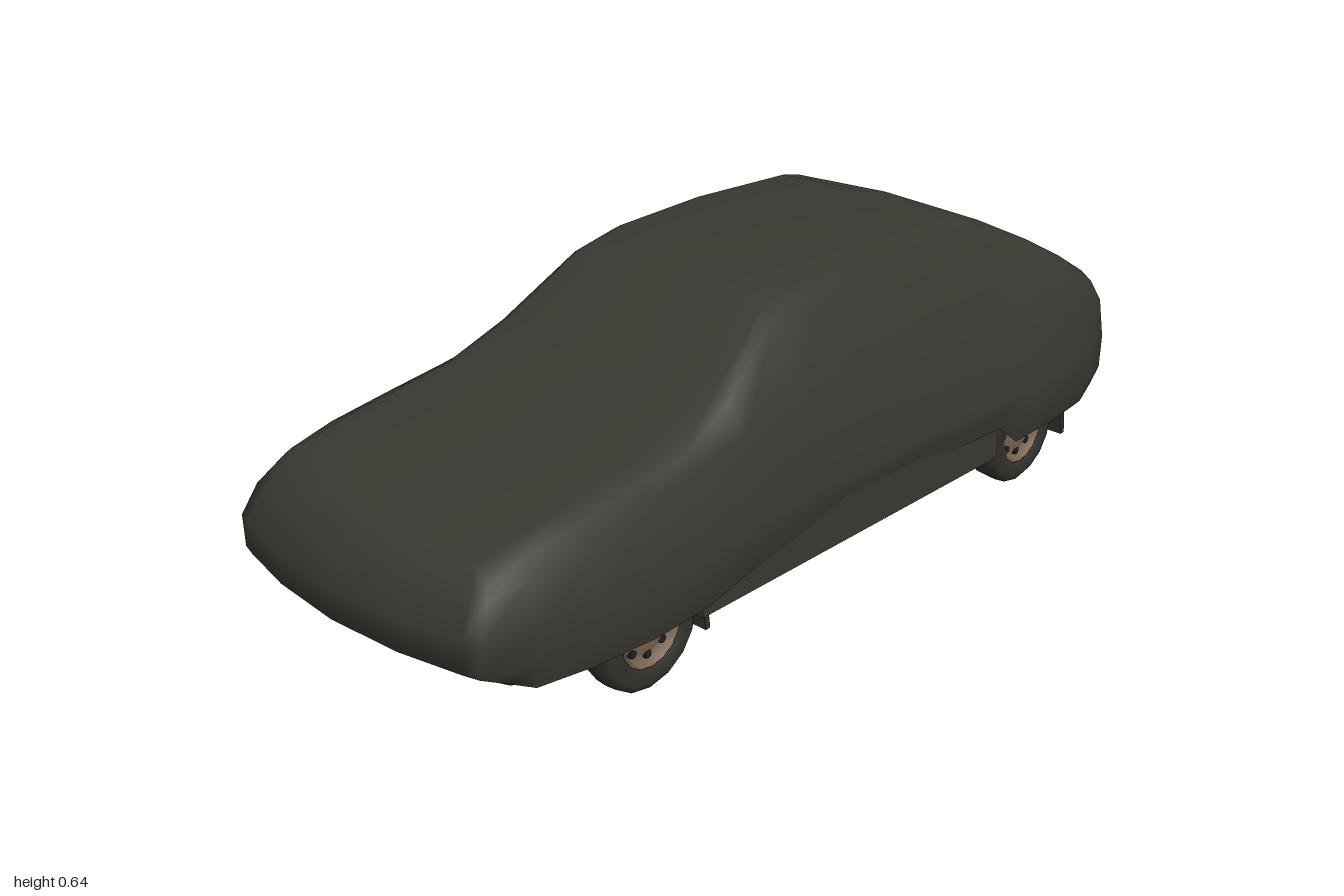
import * as THREE from 'three';
import { mergeVertices } from 'three/addons/utils/BufferGeometryUtils.js';

const material = (name, color, side = THREE.FrontSide) => {
  const m = new THREE.MeshStandardMaterial({ color, side });
  m.name = name;
  return m;
};

// Piecewise-linear lookup in [position, value] pairs, positions ascending
function lerpTable(table, p) {
  if (p <= table[0][0]) return table[0][1];
  for (let i = 1; i < table.length; i++) {
    const [p0, v0] = table[i - 1], [p1, v1] = table[i];
    if (p <= p1) return v0 + (v1 - v0) * (p - p0) / (p1 - p0);
  }
  return table[table.length - 1][1];
}

// Cover stations: z, top, top half-width, shoulder y, shoulder half-width, waist half-width, hem y
const STATIONS = [
  [0.95, 0.365, 0.31, 0.31, 0.33, 0.345, 0.14],
  [0.84, 0.385, 0.325, 0.335, 0.352, 0.37, 0.125],
  [0.72, 0.407, 0.33, 0.36, 0.365, 0.388, 0.12],
  [0.58, 0.427, 0.33, 0.38, 0.365, 0.398, 0.118],
  [0.45, 0.445, 0.33, 0.40, 0.36, 0.40, 0.125],
  [0.32, 0.50, 0.315, 0.42, 0.36, 0.395, 0.15],
  [0.15, 0.615, 0.275, 0.43, 0.355, 0.39, 0.165],
  [0.04, 0.634, 0.28, 0.43, 0.355, 0.386, 0.172],
  [-0.2, 0.643, 0.28, 0.43, 0.355, 0.388, 0.178],
  [-0.48, 0.633, 0.278, 0.43, 0.36, 0.40, 0.175],
  [-0.54, 0.62, 0.28, 0.43, 0.36, 0.405, 0.125],
  [-0.72, 0.535, 0.29, 0.415, 0.357, 0.393, 0.12],
  [-0.84, 0.47, 0.305, 0.39, 0.352, 0.38, 0.12],
  [-0.95, 0.41, 0.315, 0.34, 0.34, 0.35, 0.125],
];
const NOSE = [[0.13, 0.91], [0.185, 1], [0.25, 1], [0.31, 0.965], [0.365, 0.92]];
const TAIL = [[0.125, -0.975], [0.17, -1], [0.25, -1], [0.34, -0.985], [0.41, -0.95]];
const noseZ = (x, y) => lerpTable(NOSE, y) - 0.05 * (x / 0.34) ** 2;
const tailZ = (x, y) => lerpTable(TAIL, y) + 0.05 * Math.abs(x / 0.34) ** 5;

// Fabric cover: lofted cross-sections, closed at both ends and open below
function coverGeometry() {
  const pos = [];
  const quad = (a, b, c, d) => pos.push(...a, ...b, ...c, ...b, ...d, ...c);
  const halves = STATIONS.map(([, top, tw, sy, sw, w, hem]) => [
    [0, top], [tw * 0.5, top - 0.006], [tw * 0.9, top - 0.011], [tw, top - 0.028],
    [sw, sy], [w, 0.25], [w * 0.99, hem + 0.045], [w - 0.015, hem],
  ]);
  const last = STATIONS.length - 1;
  const place = (i, x, y) => [x, y, i === 0 ? noseZ(x, y) : i === last ? tailZ(x, y) : STATIONS[i][0]];
  const rings = halves.map((h, i) => [
    ...h.slice(1).reverse().map(([x, y]) => place(i, -x, y)),
    ...h.map(([x, y]) => place(i, x, y)),
  ]);
  for (let i = 0; i < last; i++)
    for (let j = 0; j < rings[i].length - 1; j++)
      quad(rings[i][j], rings[i][j + 1], rings[i + 1][j], rings[i + 1][j + 1]);
  // Nose and tail panels hang from the top edge down to the hem
  const across = [-1, -0.9, -0.5, 0, 0.5, 0.9, 1];
  for (const i of [0, last]) {
    const rows = [rings[i].slice(4, 11)];
    for (const [x, y] of halves[i].slice(4)) rows.push(across.map(f => place(i, f * x, y)));
    for (let r = 0; r < rows.length - 1; r++)
      for (let c = 0; c < 6; c++) {
        const a = rows[r][c], b = rows[r][c + 1], d = rows[r + 1][c], e = rows[r + 1][c + 1];
        if (i === 0) quad(a, d, b, e); else quad(a, b, d, e);
      }
  }
  let g = new THREE.BufferGeometry();
  g.setAttribute('position', new THREE.Float32BufferAttribute(pos, 3));
  g = mergeVertices(g, 1e-4);
  g.computeVertexNormals();
  return g;
}

export function createModel() {
  const model = new THREE.Group();
  model.name = 'coveredCar';
  const fabric = material('fabric', 0x393831, THREE.DoubleSide);
  const chassis = material('chassis', 0x20211f);
  const steel = material('steel', 0x343632);
  const rubber = material('rubber', 0x32312c);
  const rim = material('rim', 0x78634f);
  const rust = material('rust', 0x56302b);

  const add = (name, geometry, mat, x = 0, y = 0, z = 0, parent = model) => {
    const mesh = new THREE.Mesh(geometry, mat);
    mesh.name = name;
    mesh.position.set(x, y, z);
    parent.add(mesh);
    return mesh;
  };
  const box = (name, mat, w, h, d, x, y, z) => add(name, new THREE.BoxGeometry(w, h, d), mat, x, y, z);
  const pipe = (name, mat, r, points) => add(name, new THREE.TubeGeometry(
    new THREE.CatmullRomCurve3(points.map(p => new THREE.Vector3(...p)), false, 'catmullrom', 0.1), 28, r, 8), mat);

  add('cover', coverGeometry(), fabric);

  // Floor pan and underbody
  box('centreFloor', chassis, 0.7, 0.03, 0.9, 0, 0.145, -0.01);
  box('frontFloor', chassis, 0.54, 0.02, 0.5, 0, 0.165, 0.66);
  box('rearFloor', chassis, 0.54, 0.02, 0.54, 0, 0.17, -0.7);
  box('rearApron', chassis, 0.6, 0.03, 0.05, 0, 0.145, -0.93);
  box('transmissionTunnel', steel, 0.09, 0.016, 0.74, 0.03, 0.123, 0.0);
  box('engineSump', steel, 0.16, 0.05, 0.26, 0.06, 0.13, 0.6);
  box('frontCrossMember', steel, 0.46, 0.03, 0.05, 0, 0.11, 0.5);
  box('fuelTank', steel, 0.24, 0.04, 0.2, -0.13, 0.15, -0.8);

  // Front apron: a tapered valance, narrower at its lower edge
  const valance = new THREE.Shape([[-0.34, 0.16], [-0.3, 0.11], [-0.23, 0.09], [0.23, 0.09], [0.3, 0.11], [0.34, 0.16]]
    .map(([x, y]) => new THREE.Vector2(x, y)));
  add('frontApron', new THREE.ExtrudeGeometry(valance, { depth: 0.05, bevelEnabled: false }), chassis, 0, 0, 0.8);
  box('frontApronLip', rim, 0.34, 0.008, 0.02, 0, 0.087, 0.825);

  // Rust on the floor, and the bare inner sill on the left
  box('floorPatch', rust, 0.1, 0.006, 0.16, -0.25, 0.129, 0.06);
  box('rearFloorPatch', rust, 0.08, 0.006, 0.08, -0.17, 0.129, -0.4);
  box('innerSill', rim, 0.008, 0.03, 0.84, 0.352, 0.122, -0.01);

  for (const s of [-1, 1]) {
    box('sill', fabric, 0.02, 0.11, 0.94, s * 0.368, 0.158, -0.015);
    box('floorRail', steel, 0.035, 0.03, 0.84, s * 0.19, 0.118, -0.01);
    box('frontRail', steel, 0.03, 0.03, 0.5, s * 0.2, 0.145, 0.65);
    box('rearSpring', steel, 0.025, 0.015, 0.48, s * 0.23, 0.13, -0.62);
    pipe('steeringArm', steel, 0.01, [[s * 0.06, 0.11, 0.5], [s * 0.3, 0.12, 0.575]]);
    // Mud flaps behind each wheel
    for (const [z, x] of [[0.425, 0.298], [-0.775, 0.302]]) {
      const flap = box('mudFlap', rubber, 0.12, 0.08, 0.012, s * x, 0.097, z);
      flap.rotation.x = 0.12;
    }
  }

  // Drive line
  pipe('rearAxle', steel, 0.017, [[-0.31, 0.12, -0.6], [0, 0.12, -0.6], [0.31, 0.12, -0.6]]);
  pipe('frontAxle', steel, 0.014, [[-0.31, 0.12, 0.575], [0, 0.12, 0.575], [0.31, 0.12, 0.575]]);

  // Exhaust
  pipe('exhaustPipe', rust, 0.012, [[0.1, 0.13, 0.64], [0.02, 0.1, 0.66], [-0.07, 0.112, 0.42], [-0.07, 0.115, 0.1],
    [-0.07, 0.115, -0.3], [0.1, 0.115, -0.5], [0.13, 0.15, -0.65], [0.14, 0.145, -0.96]]);
  for (const [name, r, len, x, y, z] of [['middleSilencer', 0.03, 0.2, -0.07, 0.125, 0.07], ['rearSilencer', 0.035, 0.24, 0.14, 0.145, -0.82]]) {
    const silencer = add(name, new THREE.CylinderGeometry(r, r, len, 12), rust, x, y, z);
    silencer.rotation.x = Math.PI / 2;
  }

  // Wheels: lathe tyre, rim dish and slots, with outside towards local +y
  const v = (x, y) => new THREE.Vector2(x, y);
  const tyre = new THREE.LatheGeometry([v(0.07, -0.034), v(0.108, -0.036), v(0.122, -0.025),
    v(0.124, 0), v(0.122, 0.025), v(0.108, 0.036), v(0.076, 0.034), v(0.073, 0.018)], 16);
  const dish = new THREE.LatheGeometry([v(0.001, -0.02), v(0.073, -0.025), v(0.078, 0.03),
    v(0.07, 0.033), v(0.062, 0.014), v(0.045, 0.022), v(0.025, 0.02)], 16);
  const hub = new THREE.CylinderGeometry(0.022, 0.027, 0.016, 12);
  const slot = new THREE.CylinderGeometry(0.009, 0.009, 0.008, 8);
  for (const z of [0.575, -0.6])
    for (const s of [-1, 1]) {
      const wheel = new THREE.Group();
      wheel.name = (z > 0 ? 'front' : 'rear') + (s > 0 ? 'Left' : 'Right') + 'Wheel';
      wheel.position.set(s * 0.333, 0.124, z);
      wheel.rotation.z = -s * Math.PI / 2;
      add('tyre', tyre, rubber, 0, 0, 0, wheel);
      add('rim', dish, rim, 0, 0, 0, wheel);
      add('hub', hub, steel, 0, 0.022, 0, wheel);
      for (let k = 0; k < 8; k++) {
        const a = k * Math.PI / 4;
        add('rimSlot', slot, chassis, Math.cos(a) * 0.053, 0.018, Math.sin(a) * 0.053, wheel);
      }
      model.add(wheel);
    }
  return model;
}
